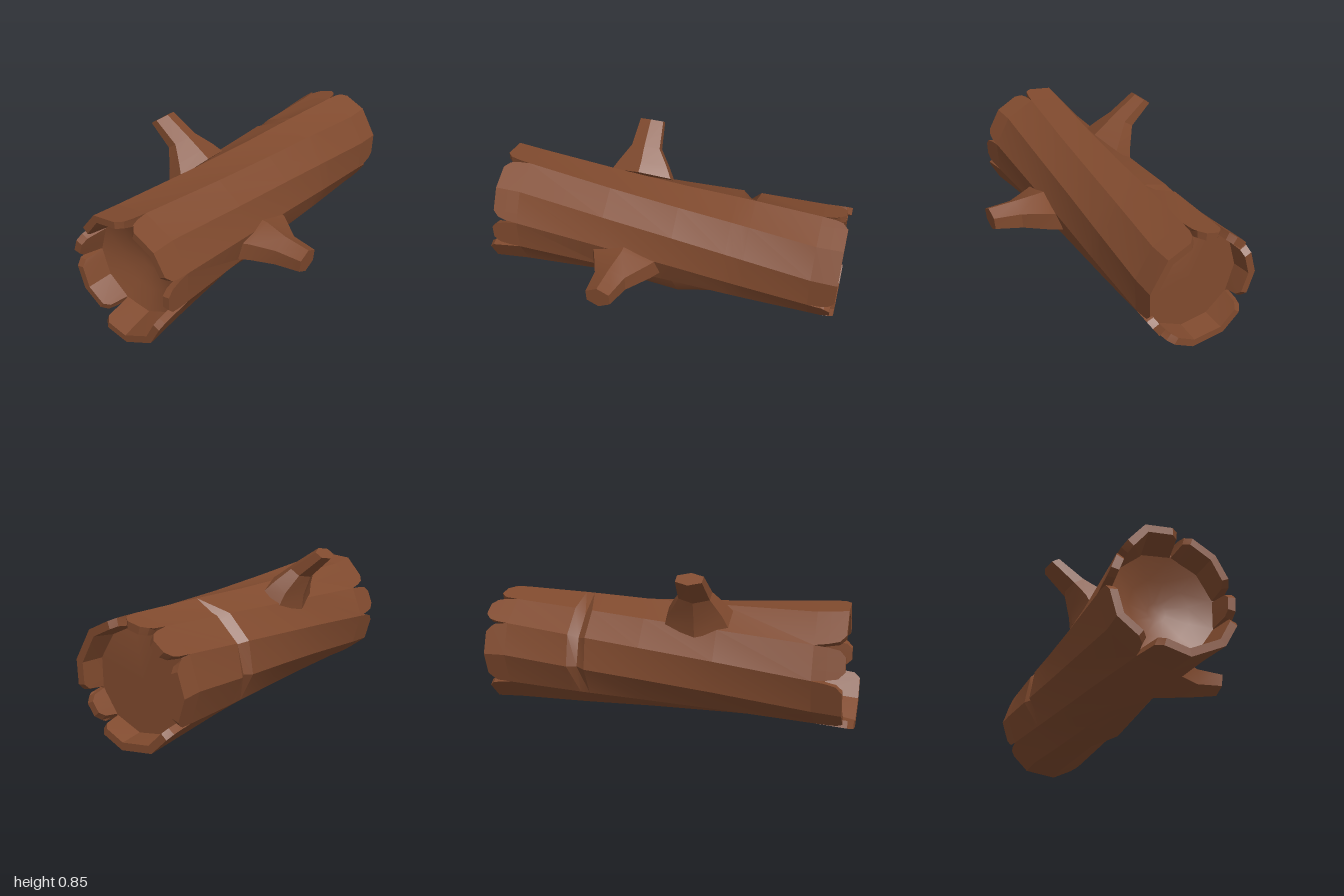
import * as THREE from 'three';
import { toCreasedNormals } from 'three/addons/utils/BufferGeometryUtils.js';

const SIDES = 11, CX = -0.1, CY = 0.34;
// trunk radius at each ridge of the flared front end
const RIDGES = [0.355, 0.34, 0.328, 0.32, 0.334, 0.34, 0.322, 0.336, 0.335, 0.325, 0.36];
// z, average radius, strength of the ridge variation
const STATIONS = [[1, 0.335, 1], [0.8, 0.318, 0.9], [0.3, 0.3, 0.6], [-0.1, 0.297, 0.4], [-0.86, 0.31, 0.5], [-1, 0.317, 0.5]];

function ridgeRadius(i, z) {
  let s = 0;
  while (s < STATIONS.length - 2 && z < STATIONS[s + 1][0]) s++;
  const [z0, r0, w0] = STATIONS[s], [z1, r1, w1] = STATIONS[s + 1];
  const t = (z0 - z) / (z0 - z1), k = ((i % SIDES) + SIDES) % SIDES;
  let r = r0 + (r1 - r0) * t + (RIDGES[k] - 0.335) * (w0 + (w1 - w0) * t);
  if (z === -0.1 && k === 4) r += 0.05; // knob underneath
  if (z === -0.45) r -= { 9: 0.04, 8: 0.04, 7: 0.025 }[k] || 0; // gash in the bark
  return r;
}

// Point on a twisting ridge; fractional indices lie on the facet between ridges
function trunkPoint(i, z, radius, inset = 0) {
  const at = (n) => {
    const twist = THREE.MathUtils.clamp((0.8 - z) / 1.66, 0, 1);
    const a = THREE.MathUtils.degToRad(81 - (360 / SIDES) * (n + twist));
    const r = (radius ?? ridgeRadius(n, z)) - inset;
    return new THREE.Vector3(CX + Math.cos(a) * r, CY + Math.sin(a) * r, z);
  };
  const n = Math.floor(i);
  return at(n).lerp(at(n + 1), i - n);
}

// Skin over closed loops of equal length, with both ends capped
function skin(loops) {
  const tris = [], n = loops[0].length;
  const center = (l) => l.reduce((s, p) => s.add(p), new THREE.Vector3()).divideScalar(n);
  for (let r = 0; r < loops.length - 1; r++) {
    for (let j = 0; j < n; j++) {
      const k = (j + 1) % n;
      const a = loops[r][j], b = loops[r][k], c = loops[r + 1][k], d = loops[r + 1][j];
      tris.push([a, b, c], [a, c, d]);
    }
  }
  const first = loops[0], last = loops[loops.length - 1];
  const c0 = center(first), c1 = center(last);
  for (let j = 0; j < n; j++) {
    const k = (j + 1) % n;
    tris.push([c0, first[k], first[j]], [c1, last[j], last[k]]);
  }
  // turn the faces outward
  const cross = new THREE.Vector3();
  const volume = tris.reduce((s, [a, b, c]) => s + cross.crossVectors(b, c).dot(a), 0);
  if (volume < 0) tris.forEach((t) => t.reverse());
  const geo = new THREE.BufferGeometry().setFromPoints(tris.flat());
  return toCreasedNormals(geo, 0.42);
}

// Trunk body with a shallow dished front and a flat back
function trunkGeometry() {
  const ring = (z, r) => Array.from({ length: SIDES }, (_, i) => trunkPoint(i, z, r));
  return skin([
    ring(0.74, 0.05), ring(0.77, 0.16), ring(0.82, 0.275),
    ...[0.8, 0.3, -0.1, -0.4, -0.45, -0.5, -0.86].map((z) => ring(z)),
    ring(-0.88, 0.27),
  ]);
}

// Broken bark plank between two ridges, narrowing toward its end
function plankGeometry(i0, i1, rootZ, endZ) {
  const dir = Math.sign(endZ), columns = [];
  for (let i = i0; i <= i1; i++) {
    const columnsHere = i === i0 ? [[i, 1], [i + 0.3, 0]] : i === i1 ? [[i - 0.3, 0], [i, -1]] : [[i, 0]];
    for (const [c, edge] of columnsHere) {
      const midZ = rootZ + dir * 0.07;
      const tipZ = endZ - dir * 0.03 * Math.abs(edge);
      const mid = c + edge * 0.05, tip = c + edge * 0.12;
      columns.push([
        trunkPoint(c, rootZ), trunkPoint(mid, midZ), trunkPoint(tip, tipZ),
        trunkPoint(tip, tipZ, undefined, 0.04), trunkPoint(c, rootZ, 0.265),
      ]);
    }
  }
  return skin(columns);
}

// Six-sided branch; each section is centre, half height vector, half width in z
function branchGeometry(sections) {
  return skin(sections.map(([x, y, z, hx, hy, w]) => Array.from({ length: 6 }, (_, j) => {
    const a = (j + 0.5) * Math.PI / 3;
    const u = Math.sin(a) * 1.0, v = Math.cos(a) * 1.12;
    return new THREE.Vector3(x + hx * u, y + hy * u, z + w * v);
  })));
}

export function createModel() {
  const log = new THREE.Group();
  log.name = 'hollowLog';
  const bark = new THREE.MeshStandardMaterial({ color: 0x804a2e });
  bark.name = 'bark brown';
  const add = (name, geo) => {
    const mesh = new THREE.Mesh(geo, bark);
    mesh.name = name;
    log.add(mesh);
  };

  add('trunk', trunkGeometry());

  // Jagged rims: ridge boundaries and the reach of each plank
  const rims = [
    ['frontPlank', 0.8, [0, 2, 3, 6, 8, 9, 11], [0.94, 0.95, 1, 0.95, 0.96, 0.955]],
    ['backPlank', -0.86, [-2, -1, 2, 3, 6, 8, 9], [-0.98, -1, -0.98, -1, -0.98, -1]],
  ];
  for (const [name, rootZ, bounds, ends] of rims) {
    ends.forEach((endZ, k) => add(name + (k + 1), plankGeometry(bounds[k], bounds[k + 1], rootZ, endZ)));
  }

  // Branch stubs
  add('leftBranch', branchGeometry([
    [0.14, 0.288, 0.165, 0, 0.105, 0.215],
    [0.215, 0.285, 0.165, 0, 0.1, 0.17],
    [0.345, 0.273, 0.19, 0.005, 0.088, 0.088],
    [0.497, 0.278, 0.205, 0.007, 0.068, 0.067],
  ]));
  add('rightBranch', branchGeometry([
    [-0.25, 0.58, 0.19, 0.09, 0.08, 0.18],
    [-0.28, 0.64, 0.19, 0.07, 0.055, 0.145],
    [-0.337, 0.72, 0.195, 0.05, 0.033, 0.085],
    [-0.467, 0.824, 0.2, 0.038, 0.025, 0.07],
  ]));
  return log;
}
